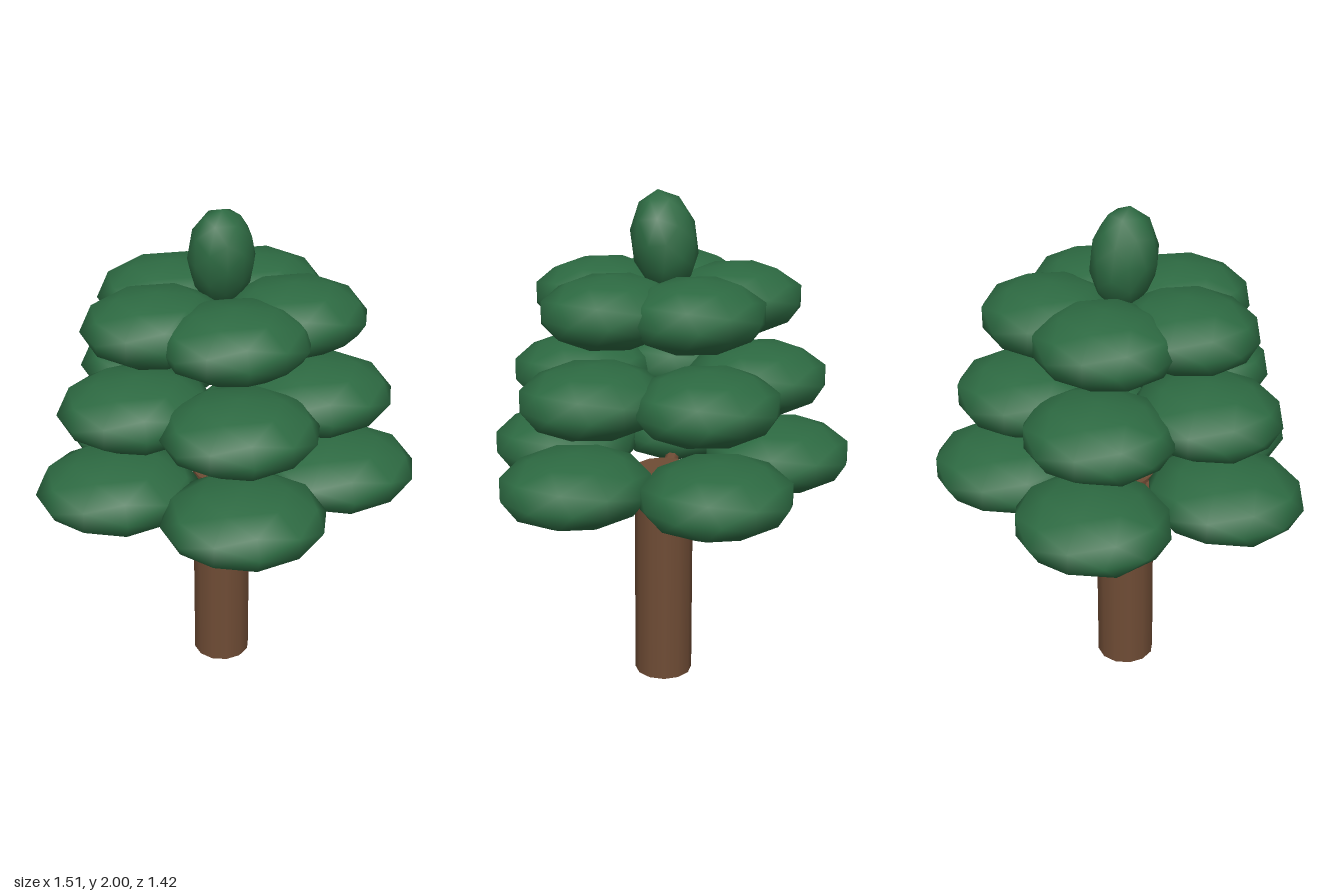
import * as THREE from 'three';

export function createModel() {
  const tree = new THREE.Group();
  tree.name = 'tree';
  const leaf = new THREE.MeshStandardMaterial({ color: 0x2d6a42 });
  const bark = new THREE.MeshStandardMaterial({ color: 0x6f4c35 });
  const axisZ = -0.04; // trunk axis
  const lobes = 5;

  // Smooth-shaded low-poly ball shared by all foliage
  const ball = new THREE.IcosahedronGeometry(1, 1);

  function add(parent, geometry, material, name) {
    const mesh = new THREE.Mesh(geometry, material);
    mesh.name = name;
    parent.add(mesh);
    return mesh;
  }

  // Point on a ring around the trunk; index 0 faces the front
  function ringPoint(i, radius, y) {
    const a = (i / lobes) * Math.PI * 2;
    return new THREE.Vector3(Math.sin(a) * radius, y, axisZ + Math.cos(a) * radius);
  }

  // Trunk
  const trunk = add(tree, new THREE.CylinderGeometry(0.117, 0.117, 0.89, 12), bark, 'trunk');
  trunk.position.set(0, 0.445, axisZ);

  // Short branches reaching into the lowest foliage tier
  const up = new THREE.Vector3(0, 1, 0);
  const branches = new THREE.Group();
  branches.name = 'branches';
  tree.add(branches);
  for (let i = 0; i < lobes; i++) {
    const start = ringPoint(i, 0.05, 0.83);
    const end = ringPoint(i, 0.34, 0.91);
    const dir = end.clone().sub(start);
    const branch = add(branches, new THREE.CylinderGeometry(0.024, 0.032, dir.length(), 8), bark, 'branch');
    branch.position.copy(start).add(end).multiplyScalar(0.5);
    branch.quaternion.setFromUnitVectors(up, dir.normalize());
  }

  // Three tiers of flattened foliage lobes, shrinking upwards
  const tiers = [
    { name: 'lowerFoliage', y: 0.93, radius: 0.46, size: [0.32, 0.136, 0.295] },
    { name: 'middleFoliage', y: 1.255, radius: 0.368, size: [0.307, 0.136, 0.282] },
    { name: 'upperFoliage', y: 1.58, radius: 0.275, size: [0.29, 0.136, 0.265] },
  ];
  for (const tier of tiers) {
    const group = new THREE.Group();
    group.name = tier.name;
    tree.add(group);
    for (let i = 0; i < lobes; i++) {
      const lobe = add(group, ball, leaf, 'foliageLobe');
      lobe.position.copy(ringPoint(i, tier.radius, tier.y));
      lobe.scale.set(...tier.size);
    }
  }

  // Treetop, leaning slightly forward
  const treetop = add(tree, ball, leaf, 'treetop');
  treetop.position.set(0, 1.805, axisZ);
  treetop.scale.set(0.13, 0.197, 0.13);
  treetop.rotation.x = 0.15;

  return tree;
}
